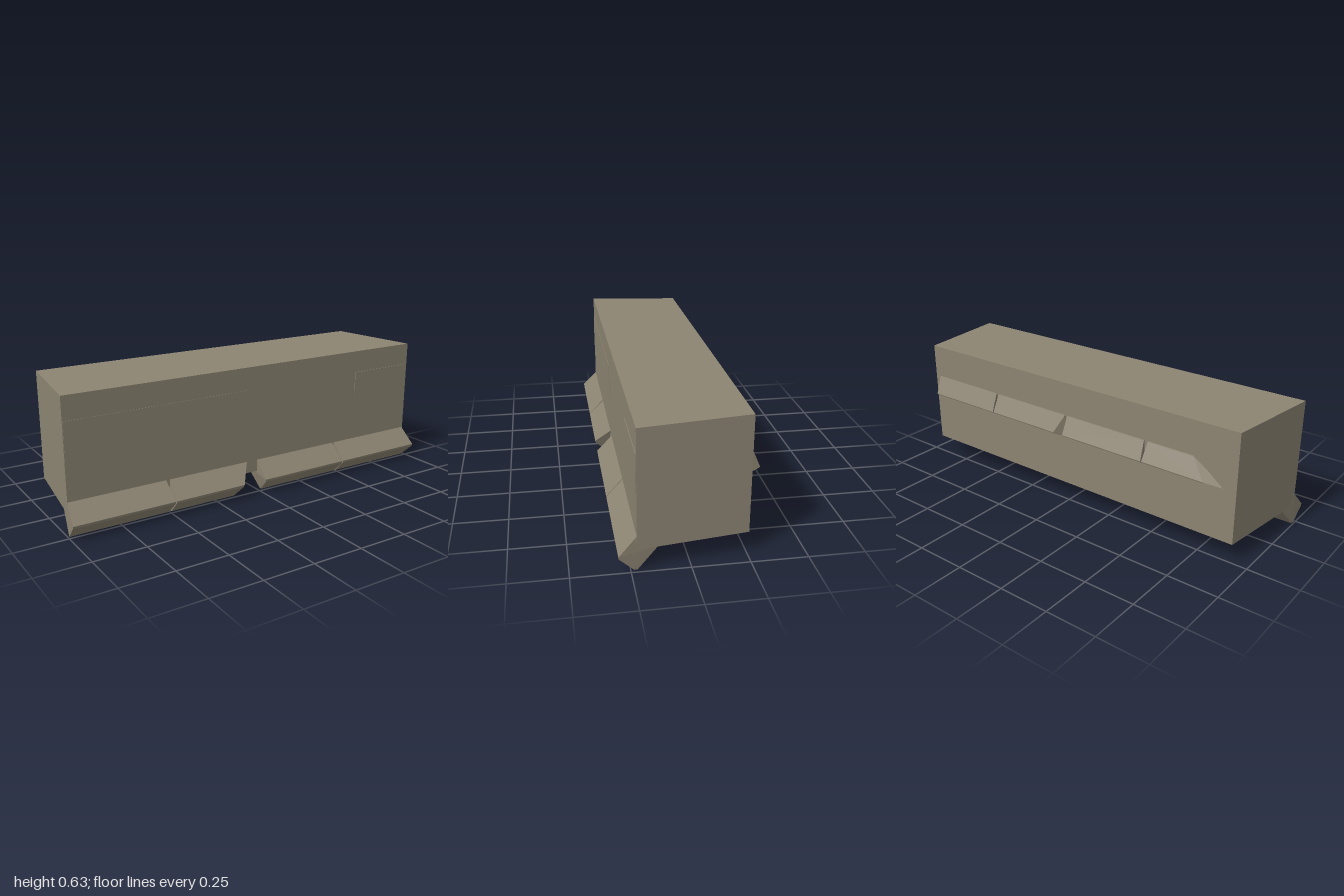
import * as THREE from 'three';
import { ConvexGeometry } from 'three/addons/geometries/ConvexGeometry.js';

const stone = new THREE.MeshStandardMaterial({ color: 0x8c8472 });
stone.name = 'grey brown stone';

const FRONT = 0.225, BACK = -0.258;

// A straight block lofted between two ends; profile is [z, y], ends are x per profile point
function slab(name, profile, leftX, rightX) {
  const points = [];
  profile.forEach(([z, y], i) => {
    points.push(new THREE.Vector3(leftX[i], y, z), new THREE.Vector3(rightX[i], y, z));
  });
  const mesh = new THREE.Mesh(new ConvexGeometry(points), stone);
  mesh.name = name;
  return mesh;
}

// A thin plate lying on the front face
function plate(name, corners, depth) {
  const shape = new THREE.Shape(corners.map(([x, y]) => new THREE.Vector2(x, y)));
  const mesh = new THREE.Mesh(new THREE.ExtrudeGeometry(shape, { depth, bevelEnabled: false }), stone);
  mesh.position.z = FRONT;
  mesh.name = name;
  return mesh;
}

export function createModel() {
  const model = new THREE.Group();
  model.name = 'stoneLedge';

  // Main block, narrower at the back
  const plan = [[FRONT, 0.1], [FRONT, 0.635], [BACK, 0.635], [BACK, 0.1]];
  const half = [0.99, 0.99, 0.926, 0.926];
  model.add(slab('body', plan, half.map((x) => -x), half));

  // Tilted trim stones along the lower front edge
  const frontProfile = [
    [0.223, 0.161], [0.302, 0.077], [0.3, 0.066], [0.236, 0.003], [0.222, 0.001], [0.13, 0.105],
  ];
  const frontTrim = new THREE.Group();
  frontTrim.name = 'frontTrim';
  [
    [[-0.99, -1, -1, -0.995, -0.99, -0.975], [-0.51, -0.503, -0.503, -0.506, -0.506, -0.506]],
    [[-0.49, -0.497, -0.497, -0.492, -0.492, -0.492], [-0.06, -0.125, -0.13, -0.145, -0.14, -0.07]],
    [[0, 0, 0.002, 0.022, 0.02, 0], [0.48, 0.488, 0.49, 0.488, 0.486, 0.484]],
    [[0.49, 0.496, 0.496, 0.502, 0.502, 0.496], [0.985, 1, 0.998, 0.985, 0.982, 0.972]],
  ].forEach(([l, r], i) => frontTrim.add(slab(`frontTrimStone${i + 1}`, frontProfile, l, r)));
  model.add(frontTrim);

  // Tilted trim stones across the back face
  const backProfile = [
    [-0.25, 0.47], [-0.264, 0.467], [-0.302, 0.381], [-0.3, 0.375], [-0.25, 0.352],
  ];
  const backTrim = new THREE.Group();
  backTrim.name = 'backTrim';
  [
    [[-0.71, -0.715, -0.785, -0.79, -0.875], [-0.475, -0.475, -0.468, -0.468, -0.475]],
    [[-0.452, -0.455, -0.463, -0.463, -0.455], [-0.01, -0.008, -0.005, -0.005, -0.025]],
    [[0.01, 0.008, 0.05, 0.05, 0.002], [0.45, 0.45, 0.455, 0.455, 0.45]],
    [[0.465, 0.465, 0.461, 0.461, 0.465], [0.892, 0.89, 0.882, 0.882, 0.885]],
  ].forEach(([l, r], i) => backTrim.add(slab(`backTrimStone${i + 1}`, backProfile, l, r)));
  model.add(backTrim);

  // Faintly raised slabs on the front face
  model.add(plate('longFrontPanel', [[-0.988, 0.342], [-0.055, 0.342], [-0.055, 0.523], [-0.988, 0.523]], 0.002));
  model.add(plate('shortFrontPanel', [[0.62, 0.41], [0.81, 0.347], [0.978, 0.347], [0.978, 0.523], [0.62, 0.523]], 0.003));

  return model;
}
